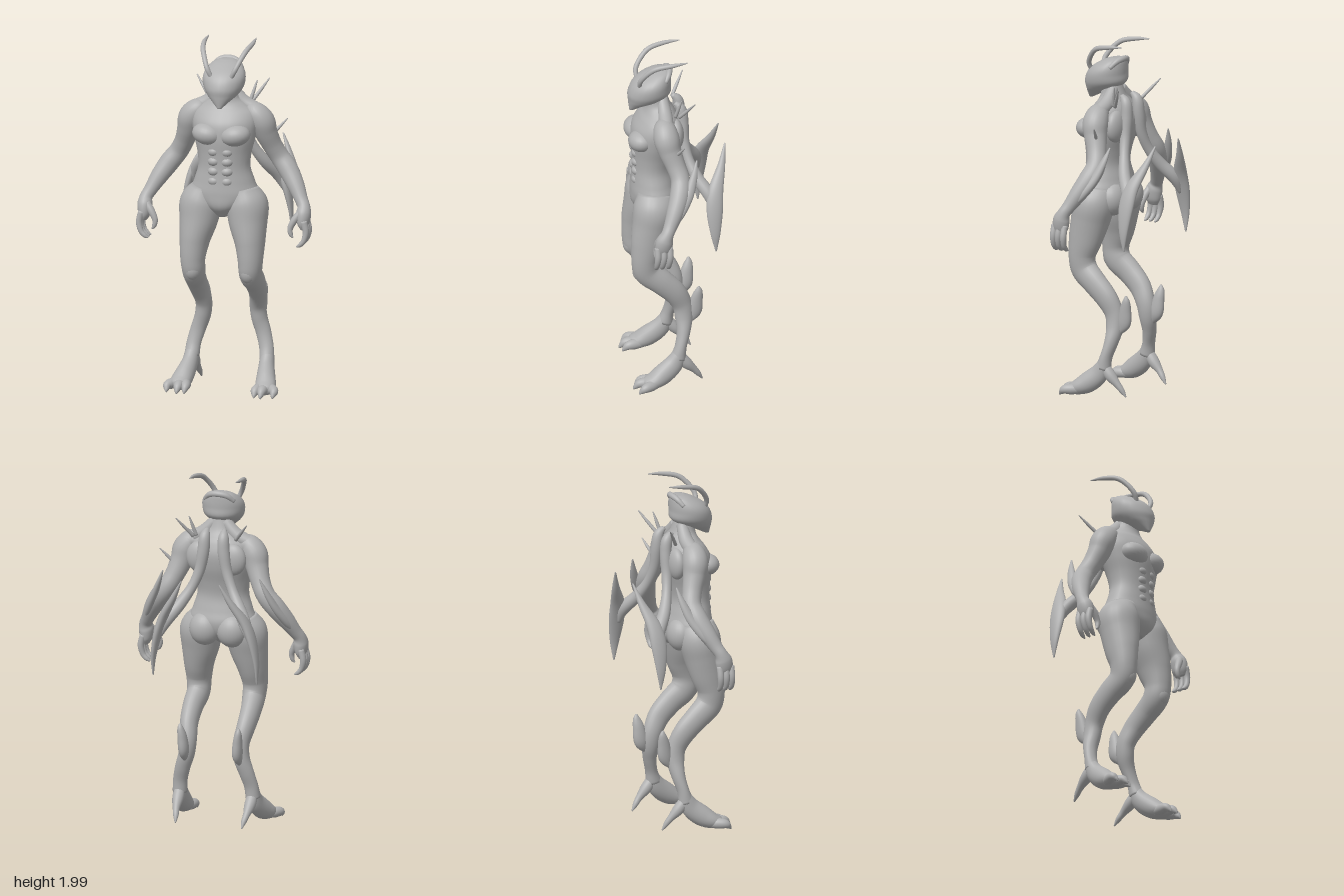
import * as THREE from 'three';

const SIDES = 24, STEPS = 6;
const skin = new THREE.MeshStandardMaterial({ color: 0xb0b0b0 });
skin.name = 'grey skin';

// Smooth skin over sections [x, y, z, halfWidth, halfDepth]; 'flat' keeps the rings level.
function loftGeometry(sections, side, ref, flat) {
  const centre = new THREE.CatmullRomCurve3(
    sections.map(s => new THREE.Vector3(s[0] * side, s[1], s[2])), false, 'catmullrom', 0.5);
  const radius = new THREE.CatmullRomCurve3(
    sections.map(s => new THREE.Vector3(s[3], s[4] ?? s[3], 0)), false, 'catmullrom', 0.5);
  const n = (sections.length - 1) * STEPS;
  const pos = [], index = [];
  for (let i = 0; i <= n; i++) {
    const c = centre.getPoint(i / n), r = radius.getPoint(i / n);
    const t = flat ? new THREE.Vector3(0, 1, 0) : centre.getTangent(i / n);
    const u = ref.clone().addScaledVector(t, -ref.dot(t)).normalize();
    const v = t.clone().cross(u);
    for (let j = 0; j < SIDES; j++) {
      const a = j / SIDES * Math.PI * 2;
      const p = c.clone()
        .addScaledVector(u, Math.max(r.x, 0.001) * Math.cos(a))
        .addScaledVector(v, Math.max(r.y, 0.001) * Math.sin(a));
      pos.push(p.x, p.y, p.z);
      if (i < n) {
        const k = i * SIDES, j2 = (j + 1) % SIDES;
        index.push(k + j, k + j2, k + SIDES + j2, k + j, k + SIDES + j2, k + SIDES + j);
      }
    }
  }
  // end caps
  for (const [ring, flip] of [[0, true], [n, false]]) {
    const c = centre.getPoint(ring / n), id = pos.length / 3, k = ring * SIDES;
    pos.push(c.x, c.y, c.z);
    for (let j = 0; j < SIDES; j++) {
      const a = k + j, b = k + (j + 1) % SIDES;
      if (flip) index.push(id, b, a); else index.push(id, a, b);
    }
  }
  const g = new THREE.BufferGeometry();
  g.setAttribute('position', new THREE.Float32BufferAttribute(pos, 3));
  g.setIndex(index);
  g.computeVertexNormals();
  return g;
}

const X = new THREE.Vector3(1, 0, 0), Z = new THREE.Vector3(0, 0, 1);

export function createModel() {
  const model = new THREE.Group();
  model.name = 'insectHumanoid';

  const add = (name, geometry) => {
    const m = new THREE.Mesh(geometry, skin);
    m.name = name;
    model.add(m);
    return m;
  };
  const loft = (name, sections, side = 1, ref = X, flat = false) =>
    add(name, loftGeometry(sections, side, ref, flat));
  const blob = (name, x, y, z, rx, ry, rz, tilt = 0) => {
    const m = add(name, new THREE.SphereGeometry(1, 24, 16));
    m.position.set(x, y, z);
    m.scale.set(rx, ry, rz);
    m.rotation.z = tilt;
  };

  // torso and neck
  loft('torso', [
    [0, 1.02, 0.14, 0.03, 0.05], [0, 1.08, 0.125, 0.12, 0.115], [0, 1.15, 0.115, 0.19, 0.13],
    [0, 1.22, 0.12, 0.172, 0.12], [0, 1.30, 0.125, 0.148, 0.11], [0, 1.38, 0.12, 0.153, 0.118],
    [0, 1.47, 0.11, 0.175, 0.135], [0, 1.55, 0.10, 0.188, 0.135], [0, 1.61, 0.09, 0.175, 0.11],
    [0, 1.65, 0.085, 0.125, 0.085], [0, 1.69, 0.09, 0.08, 0.068], [0, 1.75, 0.10, 0.065, 0.06],
    [0, 1.80, 0.11, 0.06, 0.06]], 1, X, true);

  // wedge-shaped head with a pointed chin
  loft('head', [
    [0, 1.655, 0.238, 0.012, 0.012], [0, 1.69, 0.205, 0.05, 0.05], [0, 1.72, 0.168, 0.085, 0.09],
    [0, 1.76, 0.14, 0.112, 0.12], [0, 1.81, 0.128, 0.12, 0.112], [0, 1.85, 0.108, 0.108, 0.093],
    [0, 1.885, 0.078, 0.075, 0.06], [0, 1.9, 0.062, 0.035, 0.03]], 1, X, true);
  loft('headCrest', [
    [-0.085, 1.85, 0.06, 0.012], [-0.05, 1.885, 0.035, 0.016], [0, 1.895, 0.025, 0.017],
    [0.05, 1.885, 0.035, 0.016], [0.085, 1.85, 0.06, 0.012]], 1, Z);

  for (const s of [1, -1]) {
    const tag = s > 0 ? 'left' : 'right';
    const part = (name, sections, ref) => loft(tag + name, sections, s, ref);

    // antenna
    part('Antenna', [
      [0.055, 1.82, 0.20, 0.012], [0.08, 1.87, 0.20, 0.014], [0.105, 1.925, 0.165, 0.014],
      [0.125, 1.965, 0.115, 0.014], [0.138, 1.984, 0.03, 0.012], [0.136, 1.994, -0.056, 0.003]]);

    // body muscles
    blob(tag + 'Pectoral', s * 0.078, 1.495, 0.195, 0.088, 0.062, 0.074, s * 0.15);
    blob(tag + 'ShoulderBlade', s * 0.10, 1.53, 0.005, 0.075, 0.09, 0.045);
    blob(tag + 'Glute', s * 0.08, 1.11, 0.04, 0.088, 0.095, 0.077);
    for (let i = 0; i < 4; i++) {
      blob(tag + 'Abdominal', s * 0.037, 1.40 - i * 0.056, 0.212, 0.036, 0.028, 0.032);
    }
    part('Trapezius', [[0.03, 1.73, 0.07, 0.03], [0.10, 1.655, 0.065, 0.04], [0.18, 1.615, 0.07, 0.04]]);

    // arm
    part('Arm', [
      [0.12, 1.61, 0.075, 0.045], [0.165, 1.60, 0.078, 0.064], [0.203, 1.555, 0.073, 0.072],
      [0.222, 1.49, 0.058, 0.064], [0.252, 1.41, 0.03, 0.055], [0.29, 1.34, 0.01, 0.054],
      [0.34, 1.275, 0.022, 0.056], [0.39, 1.20, 0.055, 0.049], [0.43, 1.13, 0.09, 0.038],
      [0.452, 1.09, 0.112, 0.036], [0.455, 1.05, 0.128, 0.042, 0.048],
      [0.455, 1.00, 0.135, 0.034, 0.046], [0.457, 0.965, 0.138, 0.015, 0.03]]);
    // fingers and thumb
    for (const z of [0.10, 0.135, 0.168]) {
      part('Finger', [
        [0.465, 1.02, z, 0.018], [0.478, 0.96, z, 0.018], [0.468, 0.91, z + 0.004, 0.015],
        [0.445, 0.882, z + 0.005, 0.012], [0.425, 0.872, z + 0.005, 0.004]]);
    }
    part('Thumb', [
      [0.44, 1.06, 0.145, 0.022], [0.41, 1.02, 0.158, 0.02], [0.388, 0.975, 0.165, 0.016],
      [0.392, 0.94, 0.168, 0.012], [0.405, 0.922, 0.17, 0.004]]);
    // swept-back forearm blade
    part('ForearmBlade', [
      [0.43, 1.14, 0.06, 0.012], [0.40, 1.20, 0.025, 0.028, 0.022], [0.36, 1.28, -0.025, 0.028, 0.02],
      [0.32, 1.37, -0.06, 0.02, 0.015], [0.285, 1.455, -0.083, 0.004]], Z);

    // digitigrade leg
    part('Leg', [
      [0.11, 1.17, 0.12, 0.08, 0.10], [0.132, 1.09, 0.13, 0.117, 0.118], [0.142, 0.99, 0.148, 0.108, 0.11],
      [0.158, 0.88, 0.17, 0.085, 0.098], [0.165, 0.78, 0.188, 0.07, 0.078],
      [0.163, 0.705, 0.172, 0.064, 0.078], [0.17, 0.64, 0.10, 0.056, 0.072],
      [0.167, 0.565, 0.025, 0.05, 0.066], [0.155, 0.48, -0.02, 0.046, 0.056],
      [0.162, 0.40, -0.03, 0.045, 0.05], [0.187, 0.32, -0.024, 0.043, 0.038],
      [0.208, 0.24, -0.005, 0.041, 0.033], [0.215, 0.17, 0.012, 0.042, 0.045]]);
    blob(tag + 'Knee', s * 0.16, 0.715, 0.205, 0.05, 0.065, 0.055);
    // hock spur
    part('HockSpur', [
      [0.162, 0.37, -0.06, 0.012], [0.158, 0.43, -0.09, 0.04, 0.028], [0.163, 0.51, -0.103, 0.034, 0.026],
      [0.17, 0.56, -0.112, 0.022, 0.018], [0.173, 0.59, -0.113, 0.006]], Z);

    // foot with three front claws and one rear claw
    part('Foot', [
      [0.215, 0.20, 0.002, 0.038], [0.22, 0.135, 0.04, 0.045, 0.055], [0.232, 0.085, 0.10, 0.054, 0.058],
      [0.243, 0.055, 0.155, 0.058, 0.046], [0.248, 0.043, 0.20, 0.045, 0.03], [0.25, 0.04, 0.215, 0.01]]);
    for (const [x0, x1, reach] of [[0.265, 0.305, 0.245], [0.24, 0.24, 0.268], [0.215, 0.2, 0.255]]) {
      part('Toe', [
        [x0, 0.045, 0.14, 0.025], [(x0 + x1) / 2, 0.045, reach - 0.07, 0.03],
        [x1, 0.042, reach - 0.035, 0.025], [x1, 0.024, reach - 0.012, 0.014], [x1, 0.01, reach, 0.003]]);
    }
    part('RearClaw', [
      [0.215, 0.19, 0.01, 0.03], [0.212, 0.135, -0.035, 0.032], [0.207, 0.09, -0.078, 0.02],
      [0.20, 0.055, -0.105, 0.015], [0.195, 0.02, -0.128, 0.004]]);

    // wing stem rising from the upper back
    part('WingStem', [
      [0.05, 1.70, 0.0, 0.012], [0.055, 1.66, -0.032, 0.03], [0.06, 1.58, -0.042, 0.034, 0.032],
      [0.08, 1.47, -0.045, 0.03], [0.12, 1.37, -0.065, 0.028], [0.175, 1.28, -0.105, 0.034],
      [0.23, 1.20, -0.16, 0.034], [0.265, 1.11, -0.18, 0.012]]);
    // folded wing blade, pointed at both ends
    part('WingBlade', [
      [0.305, 0.88, -0.188, 0.004], [0.303, 0.99, -0.185, 0.028, 0.014], [0.278, 1.12, -0.185, 0.046, 0.023],
      [0.238, 1.23, -0.198, 0.042, 0.025], [0.17, 1.345, -0.24, 0.022, 0.018],
      [0.112, 1.455, -0.27, 0.004]], Z);
  }

  // loose spikes stuck in the shoulders and one arm
  const spikes = [
    [[0.13, 1.65, -0.01], [0.207, 1.765, -0.085]],
    [[0.12, 1.65, 0.01], [0.152, 1.765, -0.02]],
    [[-0.12, 1.65, -0.01], [-0.21, 1.76, -0.085]],
    [[0.24, 1.46, 0.035], [0.33, 1.56, -0.005]]];
  for (const [a, b] of spikes) {
    const mid = a.map((v, i) => (v + b[i]) / 2);
    loft('spike', [[...a, 0.01], [...mid, 0.009], [...b, 0.003]]);
  }
  return model;
}
